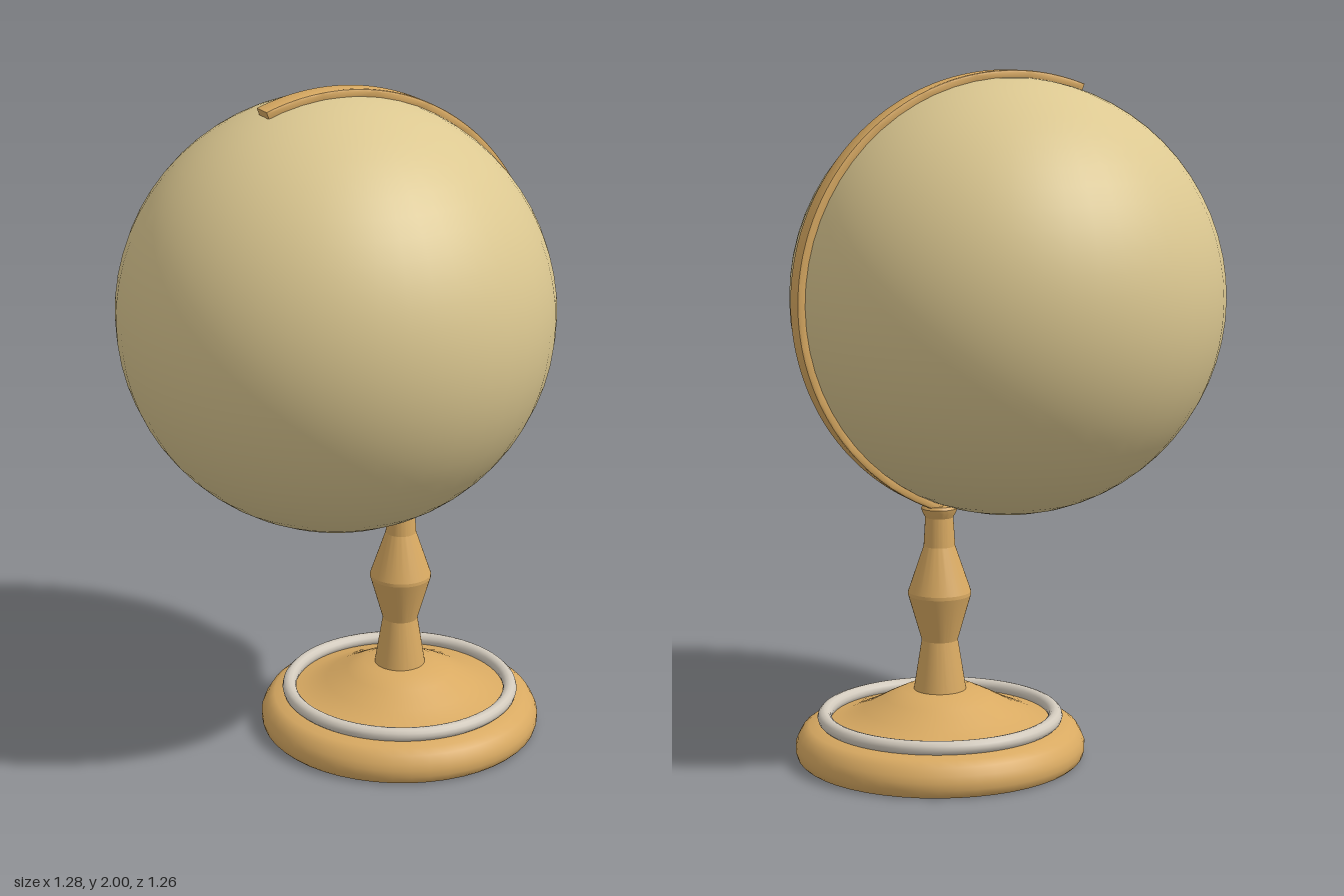
import * as THREE from 'three';
import { toCreasedNormals } from 'three/addons/utils/BufferGeometryUtils.js';

const STAND_X = 0.205;
const GLOBE = new THREE.Vector3(-0.012, 1.347, 0);

function material(name, color) {
  const m = new THREE.MeshStandardMaterial({ color });
  m.name = name;
  return m;
}

export function createModel() {
  const group = new THREE.Group();
  const parchment = material('parchment', 0xdcc891);
  const wood = material('wood', 0xd9aa62);
  const silver = material('silver', 0xd2cabd);

  const add = (name, geometry, mat, x, y) => {
    const mesh = new THREE.Mesh(geometry, mat);
    mesh.name = name;
    mesh.position.set(x, y, 0);
    group.add(mesh);
    return mesh;
  };
  // Turned part from [radius, height] pairs, smooth around and crisp at the turnings
  const turned = (name, points, crease) => {
    const lathe = new THREE.LatheGeometry(points.map(([r, y]) => new THREE.Vector2(r, y)), 48);
    add(name, toCreasedNormals(lathe, crease), wood, STAND_X, 0);
  };

  // Globe ball
  add('globe', new THREE.SphereGeometry(0.632, 48, 32), parchment, GLOBE.x, GLOBE.y);

  // Half-circle meridian band, tilted, with softened edges
  const bevel = 0.006;
  const start = THREE.MathUtils.degToRad(-69.5);
  const end = THREE.MathUtils.degToRad(110);
  const band = new THREE.Shape();
  band.absarc(0, 0, 0.652 - bevel, start, end, false);
  band.absarc(0, 0, 0.622 + bevel, end, start, true);
  const bandGeometry = new THREE.ExtrudeGeometry(band, {
    depth: 0.068 - 2 * bevel, curveSegments: 48,
    bevelEnabled: true, bevelSize: bevel, bevelThickness: bevel, bevelSegments: 2,
  });
  bandGeometry.translate(0, 0, -0.034 + bevel);
  add('meridianBand', toCreasedNormals(bandGeometry, 0.6), wood, GLOBE.x, GLOBE.y);

  // Round foot with a rolled rim and a raised centre
  turned('base', [
    [0, 0], [0.412, 0], [0.42, 0.008], [0.425, 0.025], [0.425, 0.045], [0.418, 0.063],
    [0.405, 0.085], [0.385, 0.1], [0.34, 0.108], [0.29, 0.115], [0.225, 0.143],
    [0.16, 0.178], [0.11, 0.202], [0, 0.204],
  ], 0.6);

  // Metal ring on the foot
  const ring = add('baseRing', new THREE.TorusGeometry(0.339, 0.021, 12, 64), silver, STAND_X, 0.122);
  ring.rotation.x = Math.PI / 2;

  // Turned column with a flared cap
  turned('column', [
    [0, 0.19], [0.077, 0.2], [0.053, 0.35], [0.092, 0.485], [0.092, 0.495],
    [0.046, 0.63], [0.041, 0.715], [0.05, 0.732], [0.053, 0.742], [0.048, 0.75], [0, 0.752],
  ], 0.25);

  return group;
}
